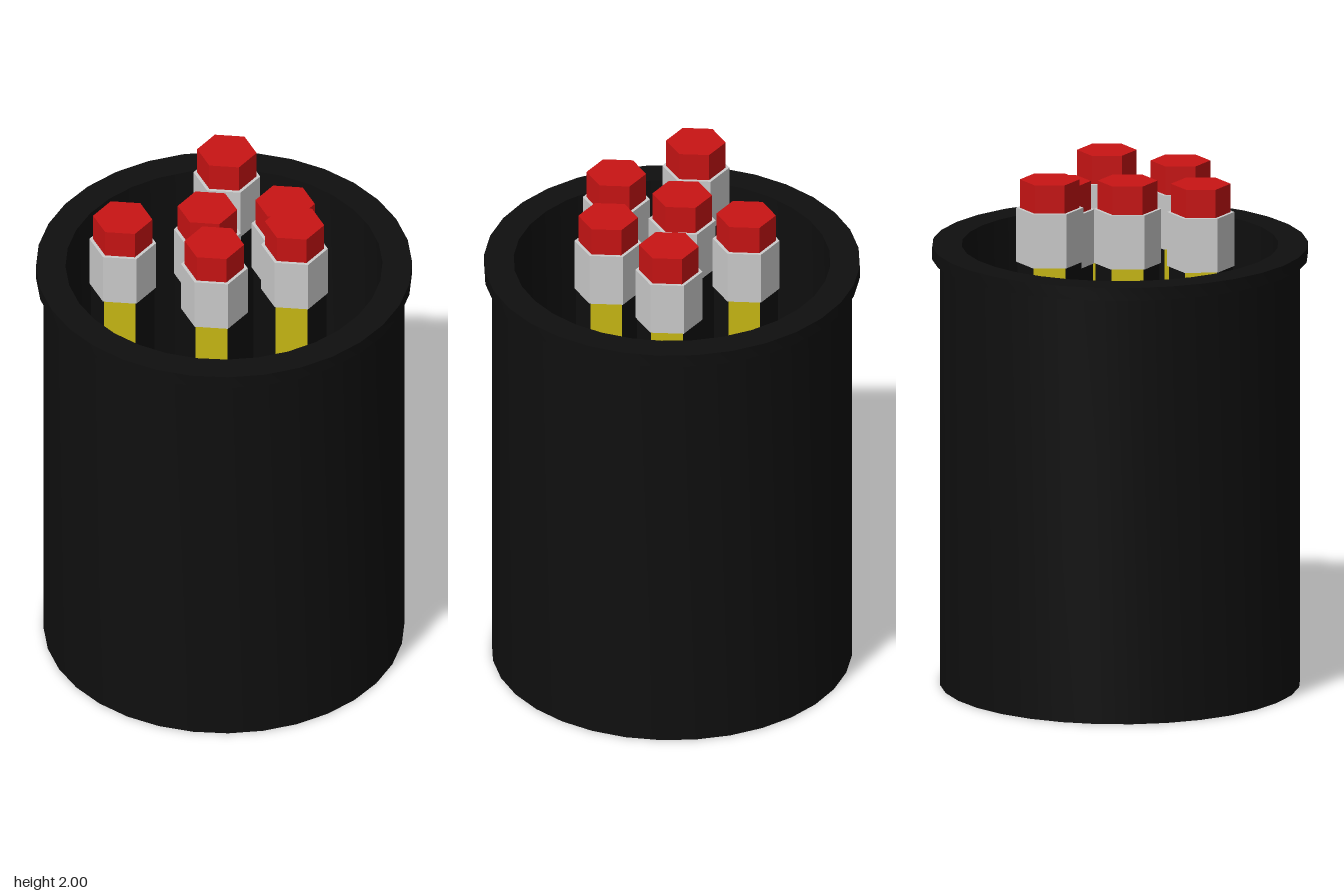
import * as THREE from 'three';
import { mergeGeometries, toCreasedNormals } from 'three/addons/utils/BufferGeometryUtils.js';

const paint = (color, flatShading = false) => new THREE.MeshStandardMaterial({ color, flatShading });

const black = paint(0x0f0f0f);
const blackFlat = paint(0x0f0f0f, true);
const yellow = paint(0xc8b814, true);
const grey = paint(0xcccccc, true);
const red = paint(0xc81414, true);

const FLOOR = 0.08;
const ERASER_HEIGHT = 0.11;
const FERRULE_HEIGHT = 0.21;

function part(name, geometry, material, y = 0) {
  const mesh = new THREE.Mesh(geometry, material);
  mesh.name = name;
  mesh.position.y = y;
  return mesh;
}

// Hexagonal prism centred on its own height
const hexPrism = (radius, height) => new THREE.CylinderGeometry(radius, radius, height, 6);

// Every second side of a hexagonal shaft, starting at the given side
function shaftSides(first, height) {
  const side = Math.PI / 3;
  const panels = [0, 2, 4].map((i) =>
    new THREE.CylinderGeometry(0.121, 0.121, height, 1, 1, true, (first + i) * side, side));
  return mergeGeometries(panels);
}

// Pencil standing eraser up, with a two-coloured striped shaft
function createPencil(x, z, top) {
  const pencil = new THREE.Group();
  pencil.name = 'pencil';
  pencil.position.set(x, 0, z);
  const ferruleTop = top - ERASER_HEIGHT;
  const shaftTop = ferruleTop - FERRULE_HEIGHT;
  const shaftHeight = shaftTop - FLOOR;
  const shaftY = FLOOR + shaftHeight / 2;
  pencil.add(
    part('eraser', hexPrism(0.113, ERASER_HEIGHT), red, top - ERASER_HEIGHT / 2),
    part('ferrule', hexPrism(0.127, FERRULE_HEIGHT), grey, ferruleTop - FERRULE_HEIGHT / 2),
    part('shaftBlackSides', shaftSides(0, shaftHeight), blackFlat, shaftY),
    part('shaftYellowSides', shaftSides(1, shaftHeight), yellow, shaftY),
  );
  return pencil;
}

// Hollow cup with a thick wall and a projecting rim
function createCup() {
  const profile = [
    [0, 0], [0.683, 0], [0.683, 1.655], [0.712, 1.655], [0.712, 1.705],
    [0.6, 1.705], [0.6, FLOOR], [0, FLOOR],
  ].map(([r, y]) => new THREE.Vector2(r, y));
  return part('cup', toCreasedNormals(new THREE.LatheGeometry(profile, 32), 0.6), black);
}

export function createModel() {
  const model = new THREE.Group();
  model.name = 'pencilCup';
  model.add(createCup());

  // Pencil positions and heights: x, z, top
  const pencils = [
    [-0.39, -0.065, 2.0],
    [-0.053, -0.035, 1.965],
    [0.14, -0.29, 2.0],
    [0.255, -0.005, 1.92],
    [-0.137, 0.22, 2.0],
    [0.19, 0.23, 2.0],
  ];
  for (const [x, z, top] of pencils) model.add(createPencil(x, z, top));
  return model;
}
